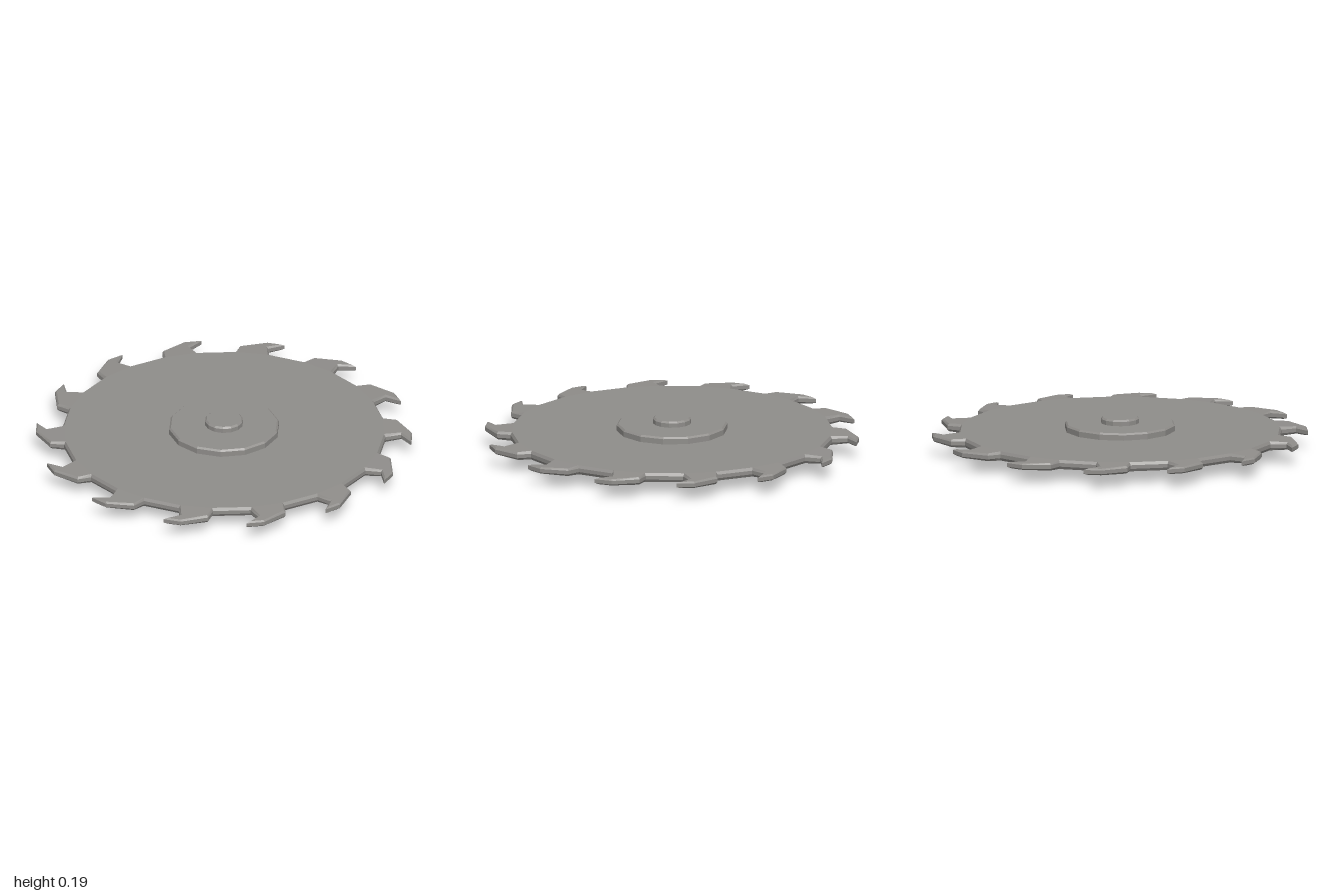
import * as THREE from 'three';

const TEETH = 14, PITCH = 360 / TEETH, MID = 0.095;
// One tooth as [radius, degrees]: root, heel, back, tip, throat, gullet
const TOOTH = [[0.86, -12.6], [0.932, -11.3], [1, -3.1], [1, 2.4], [0.94, -1.9], [0.86, -0.2]];
// Triangles that fill one tooth
const FILL = [[0, 5, 1], [1, 5, 4], [1, 4, 2], [2, 4, 3]];

function bladeGeometry() {
  const outline = [];
  for (let t = 0; t < TEETH; t++) {
    for (const [r, deg] of TOOTH) {
      const a = THREE.MathUtils.degToRad(deg + t * PITCH);
      outline.push(new THREE.Vector2(r * Math.sin(a), -r * Math.cos(a)));
    }
  }
  const n = outline.length;
  // Mitred inset of the outline for the bevel
  const inward = (p, q) => new THREE.Vector2(p.y - q.y, q.x - p.x).normalize();
  const inset = outline.map((p, i) => {
    const n1 = inward(outline[(i + n - 1) % n], p);
    const n2 = inward(p, outline[(i + 1) % n]);
    const m = n1.clone().add(n2).multiplyScalar(0.009 / (1 + n1.dot(n2)));
    return m.clampLength(0, 0.025).add(p);
  });
  // The faces taper towards the tips
  const half = (p) => 0.025 - 0.008 * THREE.MathUtils.clamp((p.length() - 0.85) / 0.15, 0, 1);
  const lift = (pts, f) => pts.map((p) => [p.x, MID + f(p), p.y]);
  const rings = [
    lift(inset, half),
    lift(outline, () => 0.01),
    lift(outline, () => -0.01),
    lift(inset, (p) => -half(p)),
  ];
  const pos = [];
  const tri = (a, b, c) => pos.push(...a, ...b, ...c);
  // Bevels and rim
  for (let k = 0; k < 3; k++) {
    for (let i = 0; i < n; i++) {
      const j = (i + 1) % n, up = rings[k], low = rings[k + 1];
      tri(up[i], up[j], low[j]);
      tri(up[i], low[j], low[i]);
    }
  }
  // Upper and lower faces
  for (const [ring, side] of [[rings[0], 1], [rings[3], -1]]) {
    const face = (a, b, c) => (side > 0 ? tri(a, b, c) : tri(a, c, b));
    const centre = [0, MID + side * 0.025, 0];
    for (let t = 0; t < TEETH; t++) {
      const at = (i) => ring[(t * 6 + i) % n];
      face(centre, at(5), at(0));
      face(centre, at(6), at(5));
      for (const [a, b, c] of FILL) face(at(a), at(b), at(c));
    }
  }
  const geo = new THREE.BufferGeometry();
  geo.setAttribute('position', new THREE.Float32BufferAttribute(pos, 3));
  geo.computeVertexNormals();
  return geo;
}

// Faceted disc with chamfered edges, centred on the blade
function discGeometry(radius, h, bevel) {
  const profile = [[0, -h], [radius - bevel, -h], [radius, bevel - h],
    [radius, h - bevel], [radius - bevel, h], [0, h]].map(([x, y]) => new THREE.Vector2(x, y));
  const geo = new THREE.LatheGeometry(profile, 14).toNonIndexed();
  geo.rotateY(Math.PI / 2);
  geo.translate(0, MID, 0);
  geo.computeVertexNormals();
  return geo;
}

export function createModel() {
  const group = new THREE.Group();
  group.name = 'sawBlade';
  const steel = new THREE.MeshStandardMaterial({ color: 0x8f8d8a });
  steel.name = 'steel';
  const add = (name, geo) => {
    const mesh = new THREE.Mesh(geo, steel);
    mesh.name = name;
    group.add(mesh);
  };
  add('blade', bladeGeometry());
  add('hub', discGeometry(0.295, 0.063, 0.009));
  add('axlePin', discGeometry(0.102, 0.095, 0.009));
  return group;
}
